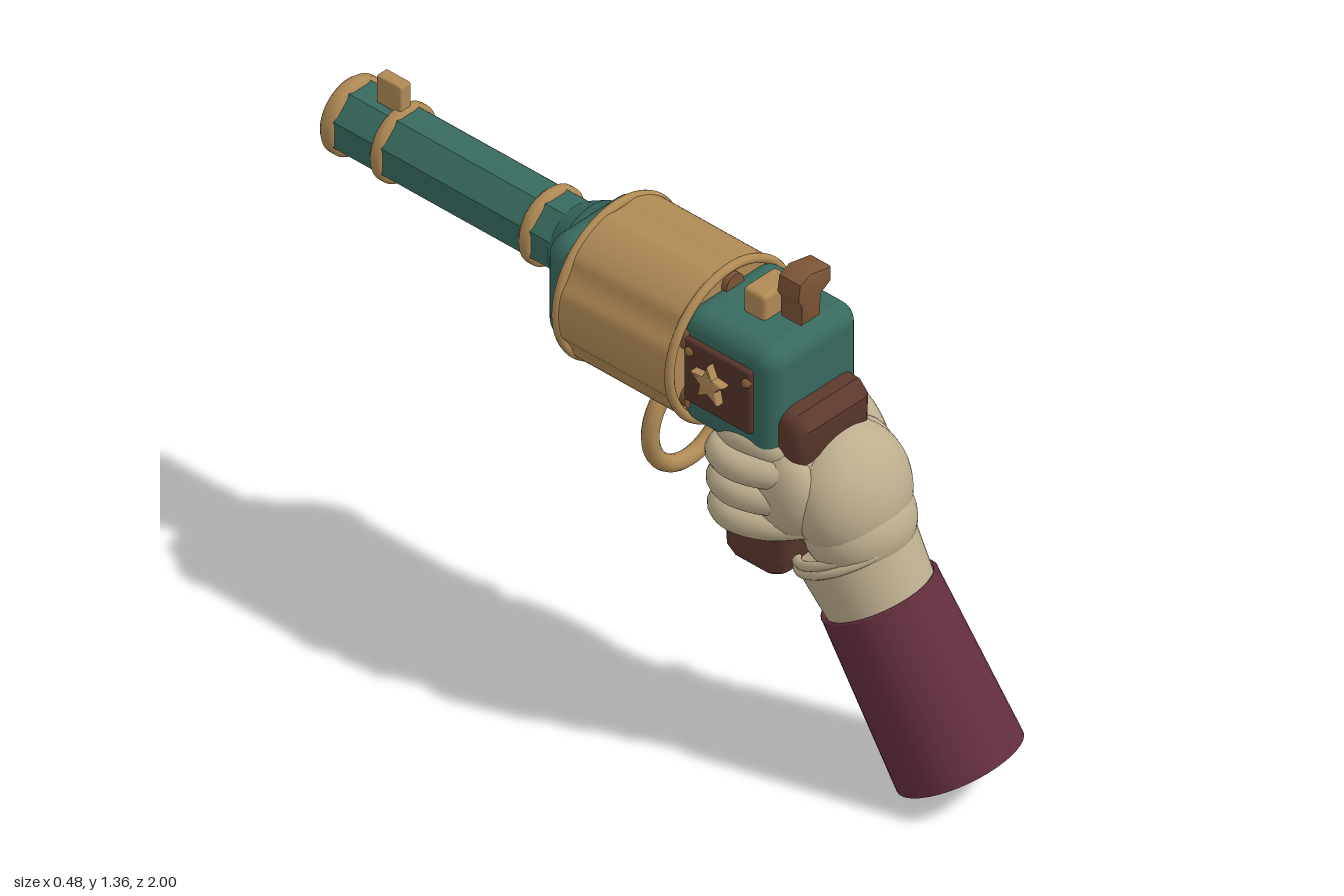
import * as THREE from 'three';
import { RoundedBoxGeometry } from 'three/addons/geometries/RoundedBoxGeometry.js';
import { toCreasedNormals } from 'three/addons/utils/BufferGeometryUtils.js';

const mat = (color, opts = {}) => new THREE.MeshStandardMaterial({ color, ...opts });
const V = (x, y, z) => new THREE.Vector3(x, y, z);
const TEAL = mat(0x386a5f), TEAL_FLAT = mat(0x386a5f, { flatShading: true }), BRASS = mat(0xb08a55);
const PLATE = mat(0x553329), GRIP = mat(0x5c392d), PANEL = mat(0x3d302e), HAMMER = mat(0x7d5536);
const GLOVE = mat(0xbdae8e), SLEEVE = mat(0x642e3e), DARK = mat(0x24242f), SLIT = mat(0x2c141c);
const TRIGGER = mat(0x30304a);

function add(parent, name, geo, material, x = 0, y = 0, z = 0) {
  const m = new THREE.Mesh(geo, material);
  m.name = name;
  m.position.set(x, y, z);
  parent.add(m);
  return m;
}
const rbox = (w, h, d, r) => new RoundedBoxGeometry(w, h, d, 4, r);
// cylinder lying along z, the first radius faces +z
const zCyl = (r1, r2, len, seg = 32) => new THREE.CylinderGeometry(r1, r2, len, seg).rotateX(Math.PI / 2);
const shapeOf = pts => new THREE.Shape(pts.map(p => new THREE.Vector2(...p)));
// centred, bevelled extrusion along z
function slab(shape, depth, bevel, segments = 2) {
  const g = new THREE.ExtrudeGeometry(shape, {
    depth: depth - 2 * bevel, bevelThickness: bevel, bevelSize: bevel, bevelOffset: -bevel, bevelSegments: segments,
  });
  g.translate(0, 0, -depth / 2 + bevel);
  return toCreasedNormals(g, 0.7);
}
// the same with the outline drawn in (z, y) and the thickness along x
const sideSlab = (pts, depth, bevel, seg) => slab(shapeOf(pts), depth, bevel, seg).rotateY(-Math.PI / 2);

// rounded finger: tapering tube with a ball at each end
function finger(parent, name, pts, r0, r1) {
  const g = new THREE.Group();
  g.name = name;
  const curve = new THREE.CatmullRomCurve3(pts.map(p => V(...p)));
  const n = 24, radial = 14;
  const geo = new THREE.TubeGeometry(curve, n, 1, radial);
  const pos = geo.attributes.position, nor = geo.attributes.normal;
  for (let i = 0; i < pos.count; i++) {
    const t = Math.floor(i / (radial + 1)) / n, shrink = 1 - (r0 + (r1 - r0) * t);
    pos.setXYZ(i, pos.getX(i) - nor.getX(i) * shrink, pos.getY(i) - nor.getY(i) * shrink, pos.getZ(i) - nor.getZ(i) * shrink);
  }
  add(g, name + 'Tube', geo, GLOVE);
  add(g, name + 'Base', new THREE.SphereGeometry(r0, 16, 12), GLOVE, ...pts[0]);
  add(g, name + 'Tip', new THREE.SphereGeometry(r1, 16, 12), GLOVE, ...pts[pts.length - 1]);
  parent.add(g);
}

function buildGun() {
  const gun = new THREE.Group();
  gun.name = 'gun';
  gun.position.x = -0.025;

  // frame and barrel
  add(gun, 'frame', rbox(0.31, 0.32, 0.3, 0.05), TEAL, 0, 1.03, 0.345);
  add(gun, 'frontFrame', rbox(0.31, 0.3, 0.2, 0.06), TEAL, 0, 1.03, -0.14);
  add(gun, 'barrelCollar', zCyl(0.12, 0.095, 0.05), TEAL, 0, 1.07, -0.245);
  add(gun, 'barrel', zCyl(0.097, 0.097, 0.76, 8).rotateZ(Math.PI / 8), TEAL_FLAT, 0, 1.07, -0.6);
  for (const [z, w] of [[-0.345, 0.036], [-0.815, 0.036], [-0.97, 0.044]]) {
    const h = w / 2;
    const band = [[0.08, -h], [0.093, -h], [0.102, -h * 0.5], [0.102, h * 0.5], [0.093, h], [0.08, h], [0.08, -h]];
    add(gun, 'barrelBand', new THREE.LatheGeometry(band.map(p => new THREE.Vector2(...p)), 40).rotateX(Math.PI / 2), BRASS, 0, 1.07, z);
  }
  add(gun, 'muzzle', zCyl(0.066, 0.066, 0.03), DARK, 0, 1.07, -0.985);
  add(gun, 'frontSight', rbox(0.036, 0.08, 0.078, 0.006), BRASS, 0, 1.2, -0.845);
  add(gun, 'rearSight', rbox(0.11, 0.08, 0.07, 0.012), BRASS, 0, 1.217, 0.345);

  // hammer spur
  const spur = [[-0.045, 1.225], [0.018, 1.225], [0.022, 1.285], [0.055, 1.305], [0.055, 1.345], [-0.015, 1.36], [-0.05, 1.345], [-0.057, 1.3], [-0.045, 1.28]];
  add(gun, 'hammer', slab(shapeOf(spur), 0.07, 0.006), HAMMER, 0, 0, 0.455);

  // drum with shallow flutes between six chambers
  const outline = [];
  for (let i = 0; i < 96; i++) {
    const a = i / 96 * Math.PI * 2, dip = Math.max(0, -Math.cos(6 * (a - Math.PI / 6) + Math.PI) - 0.3);
    const r = 0.21 - 0.014 * dip;
    outline.push([r * Math.cos(a), r * Math.sin(a)]);
  }
  add(gun, 'drum', slab(shapeOf(outline), 0.36, 0.004, 1), BRASS, 0, 1.03, 0.04);
  for (const z of [-0.137, 0.22]) {
    add(gun, 'drumRim', new THREE.TorusGeometry(0.205, 0.012, 10, 64), BRASS, 0, 1.03, z);
  }
  for (let i = 0; i < 6; i++) {
    const a = Math.PI / 6 + i * Math.PI / 3, x = 0.163 * Math.cos(a), y = 1.03 + 0.163 * Math.sin(a);
    add(gun, 'chamberRing', new THREE.TorusGeometry(0.028, 0.009, 8, 24), HAMMER, x, y, -0.146);
    add(gun, 'cartridge', zCyl(0.03, 0.026, 0.39, 20), HAMMER, x, y, 0.042);
  }

  // side plates with star and rivets
  const star = [];
  for (let i = 0; i < 10; i++) {
    const a = Math.PI / 2 + i * Math.PI / 5, r = i % 2 ? 0.026 : 0.055;
    star.push([r * Math.cos(a), r * Math.sin(a)]);
  }
  for (const s of [-1, 1]) {
    add(gun, 'sidePlate', rbox(0.03, 0.18, 0.21, 0.008), PLATE, s * 0.155, 1.042, 0.335);
    add(gun, 'star', slab(shapeOf(star), 0.03, 0.006).rotateY(s * Math.PI / 2), BRASS, s * 0.178, 1.05, 0.325);
    for (const z of [0.25, 0.43]) {
      add(gun, 'rivet', new THREE.SphereGeometry(0.013, 12, 8), HAMMER, s * 0.17, 1.1, z);
    }
  }

  // grip
  const grip = [[0.45, 1.025], [0.53, 1.02], [0.563, 0.985], [0.56, 0.9], [0.51, 0.78], [0.5, 0.6], [0.48, 0.535], [0.45, 0.52], [0.34, 0.52], [0.305, 0.545], [0.3, 0.62], [0.31, 0.9], [0.4, 0.95]];
  add(gun, 'grip', sideSlab(grip, 0.25, 0.04, 4), GRIP);
  const panel = [[0.325, 0.64], [0.46, 0.64], [0.49, 0.69], [0.5, 0.86], [0.34, 0.86]];
  for (const s of [-1, 1]) add(gun, 'gripPanel', sideSlab(panel, 0.02, 0.004), PANEL, s * 0.127);

  // trigger and its guard
  add(gun, 'triggerGuard', new THREE.TorusGeometry(0.128, 0.022, 12, 48), BRASS, 0, 0.75, 0.087);
  const trigger = [[0.04, 0.815], [0.1, 0.84], [0.12, 0.77], [0.085, 0.76]];
  add(gun, 'trigger', sideSlab(trigger, 0.04, 0.005), TRIGGER);
  return gun;
}

function buildArm() {
  const arm = new THREE.Group();
  arm.name = 'arm';

  // forearm: local y runs from the sleeve opening up to the wrist
  const forearm = new THREE.Group();
  forearm.name = 'forearm';
  const low = V(0.075, 0.08, 0.855), high = V(0.027, 0.485, 0.645);
  forearm.position.copy(low);
  forearm.quaternion.setFromUnitVectors(V(0, 1, 0), high.clone().sub(low).normalize());
  const len = high.distanceTo(low);
  add(forearm, 'sleeve', new THREE.CylinderGeometry(0.148, 0.162, len, 40), SLEEVE, 0, len / 2, 0);
  add(forearm, 'sleeveHem', new THREE.TorusGeometry(0.143, 0.006, 8, 40).rotateX(Math.PI / 2), SLEEVE, 0, len, 0);
  add(forearm, 'cuff', new THREE.CylinderGeometry(0.15, 0.135, 0.16, 40), GLOVE, 0, len + 0.07, 0);
  for (const [y, r] of [[0.138, 0.146], [0.158, 0.14]]) {
    add(forearm, 'cuffFold', new THREE.TorusGeometry(r, 0.012, 10, 40).rotateX(Math.PI / 2), GLOVE, 0, len + y, 0);
  }
  add(forearm, 'cuffButton', new THREE.SphereGeometry(0.016, 14, 10), BRASS, 0.142, len + 0.065, 0.01);
  const slit = add(forearm, 'sleeveSlit', rbox(0.008, 0.23, 0.012, 0.003), SLIT, 0.153, 0.29, 0);
  slit.rotation.set(-0.08, 0, 0.035);
  arm.add(forearm);

  // gloved hand
  const hand = new THREE.Group();
  hand.name = 'glove';
  const palm = add(hand, 'palm', new THREE.SphereGeometry(1, 36, 24), GLOVE, 0.003, 0.765, 0.575);
  palm.scale.set(0.162, 0.168, 0.125);
  palm.rotation.x = -0.35;
  const wrist = add(hand, 'wrist', new THREE.SphereGeometry(1, 32, 20), GLOVE, 0.008, 0.68, 0.6);
  wrist.scale.set(0.146, 0.12, 0.125);
  const knuckles = add(hand, 'knuckles', new THREE.SphereGeometry(1, 24, 16), GLOVE, -0.13, 0.79, 0.49);
  knuckles.scale.set(0.065, 0.125, 0.1);
  const heel = add(hand, 'thumbHeel', new THREE.SphereGeometry(1, 24, 16), GLOVE, 0.105, 0.8, 0.53);
  heel.scale.set(0.06, 0.085, 0.08);
  finger(hand, 'thumb', [[0.11, 0.795, 0.55], [0.145, 0.85, 0.47], [0.155, 0.888, 0.39], [0.15, 0.897, 0.325], [0.14, 0.868, 0.295]], 0.052, 0.03);
  finger(hand, 'indexFinger', [[-0.1, 0.87, 0.52], [-0.145, 0.9, 0.45], [-0.155, 0.895, 0.37], [-0.13, 0.87, 0.31]], 0.042, 0.034);
  [0.85, 0.775, 0.702].forEach((y, i) => {
    const o = i * 0.004;
    finger(hand, 'finger' + (i + 1), [[-0.09, y, 0.54], [-0.17, y, 0.47], [-0.196, y, 0.39], [-0.175, y, 0.33 + o], [-0.125, y, 0.312 + o]], 0.042, 0.037);
  });
  const seam = new THREE.CatmullRomCurve3([V(0.146, 0.65, 0.6), V(0.163, 0.74, 0.605), V(0.142, 0.83, 0.59)]);
  add(hand, 'gloveSeam', new THREE.TubeGeometry(seam, 16, 0.004, 6), PANEL);
  arm.add(hand);
  return arm;
}

export function createModel() {
  const model = new THREE.Group();
  model.name = 'revolverInHand';
  model.add(buildGun(), buildArm());
  return model;
}
